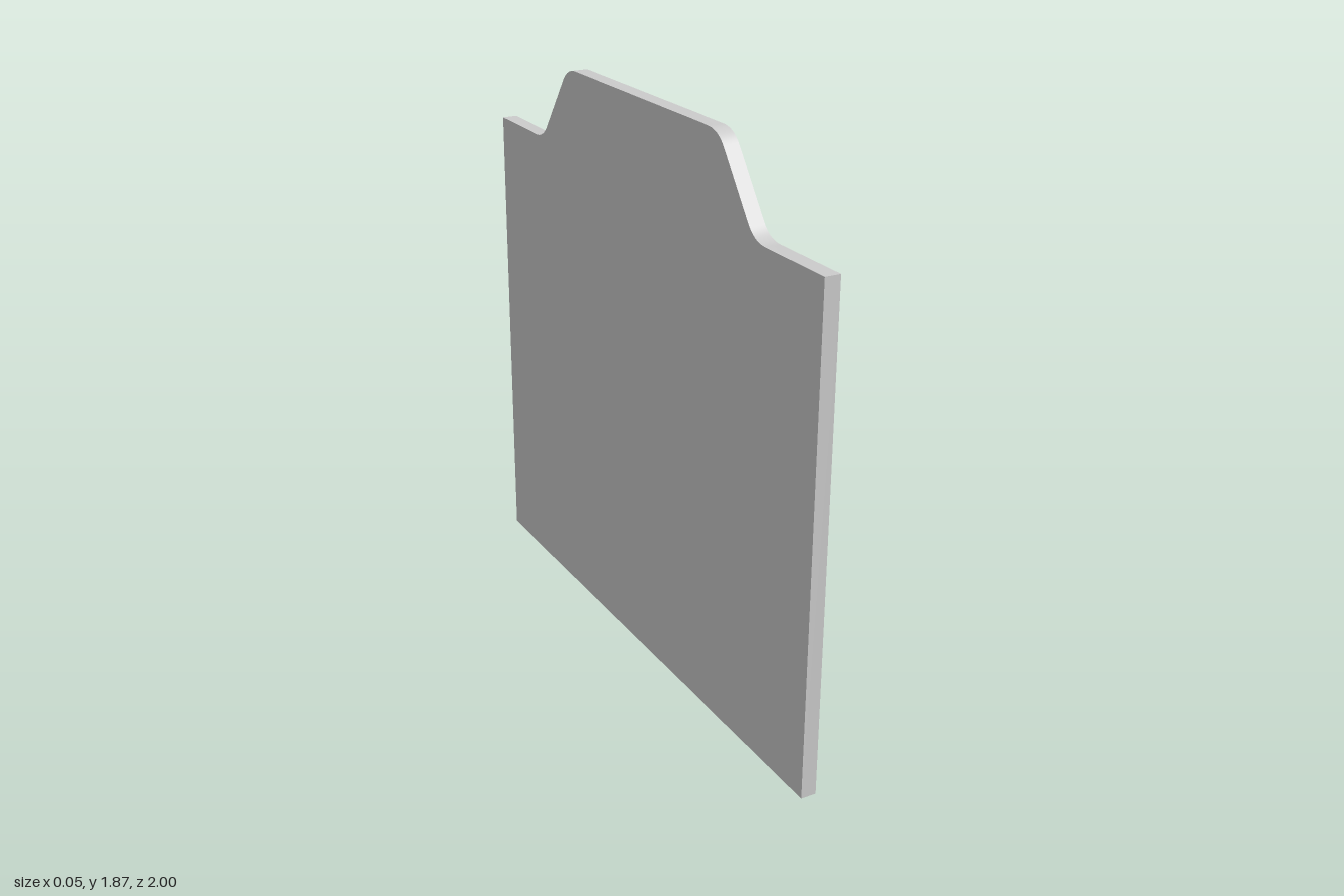
import * as THREE from 'three';
import { toCreasedNormals } from 'three/addons/utils/BufferGeometryUtils.js';

const BACK = -0.0275, FACE = 0.0225, FIELD = 0.0125, RIDGE = 0.0275;

// Complete a half outline (listed bottom to top on the +u side) by mirroring; counter-clockwise
function mirrored(half) {
  const right = half.map(([u, y]) => new THREE.Vector2(u, y));
  const left = half.map(([u, y]) => new THREE.Vector2(-u, y)).reverse();
  return [...right, ...left];
}

// Move every edge of a counter-clockwise outline inward by d, with mitred corners
function inset(points, d) {
  const n = points.length;
  return points.map((p, i) => {
    const t0 = p.clone().sub(points[(i + n - 1) % n]).normalize();
    const t1 = points[(i + 1) % n].clone().sub(p).normalize();
    const n0 = new THREE.Vector2(-t0.y, t0.x), n1 = new THREE.Vector2(-t1.y, t1.x);
    const k = d / (1 + n0.dot(n1));
    return p.clone().addScaledVector(n0.add(n1), k);
  });
}

// Outline whose corners listed in `rounded` are softened by curves of tangent length r
function roundedShape(points, rounded, r) {
  const s = new THREE.Shape(), n = points.length;
  points.forEach((p, i) => {
    const go = (q) => (i === 0 ? s.moveTo(q.x, q.y) : s.lineTo(q.x, q.y));
    if (!rounded.includes(i)) return go(p);
    const toward = (q) => p.clone().add(q.clone().sub(p).setLength(r));
    const a = toward(points[(i + n - 1) % n]), b = toward(points[(i + 1) % n]);
    go(a);
    s.quadraticCurveTo(p.x, p.y, b.x, b.y);
  });
  s.closePath();
  return s;
}

// Carry a profile of [inset, height] pairs round an outline
function sweepProfile(outline, profile) {
  const rings = profile.map(([d, h]) => inset(outline, d).map((p) => [p.x, p.y, h]));
  const n = outline.length, pos = [];
  for (let k = 0; k < rings.length - 1; k++) {
    for (let i = 0; i < n; i++) {
      const j = (i + 1) % n;
      const a = rings[k][i], b = rings[k][j], c = rings[k + 1][j], d = rings[k + 1][i];
      pos.push(...a, ...b, ...c, ...a, ...c, ...d);
    }
  }
  const g = new THREE.BufferGeometry();
  g.setAttribute('position', new THREE.Float32BufferAttribute(pos, 3));
  return g;
}

function extrude(shape, front) {
  const g = new THREE.ExtrudeGeometry(shape, { depth: front - BACK, bevelEnabled: false, curveSegments: 10 });
  return g.translate(0, 0, BACK);
}

export function createModel() {
  const group = new THREE.Group();
  const material = new THREE.MeshStandardMaterial({ color: 0xcccccc });
  const add = (name, geometry) => {
    geometry.rotateY(Math.PI / 2); // the decorated face looks along +x
    const mesh = new THREE.Mesh(toCreasedNormals(geometry, 0.5), material);
    mesh.name = name;
    group.add(mesh);
  };

  const outer = mirrored([[1, 0], [1, 1.6], [0.665, 1.6], [0.47, 1.867]]);
  const inner = mirrored([[0.925, 0.073], [0.925, 1.555], [0.615, 1.555], [0.435, 1.802]]);

  // Border with its shouldered top
  const border = roundedShape(outer, [2, 3, 4, 5], 0.055);
  border.holes.push(new THREE.Path([...inner].reverse()));
  add('border', extrude(border, FACE));

  // Slightly sunken centre panel
  add('centrePanel', extrude(new THREE.Shape(inner), FIELD));

  // Raised moulding: steep outer side, rounded slope down to the panel
  const profile = [[0.014, FIELD], [0.014, RIDGE - 0.002], [0.016, RIDGE]];
  for (let i = 0; i <= 6; i++) {
    const a = (i / 6) * Math.PI / 2;
    profile.push([0.02 + 0.019 * Math.sin(a), FIELD + (RIDGE - FIELD) * Math.cos(a)]);
  }
  add('moulding', sweepProfile(inner, profile));

  return group;
}
